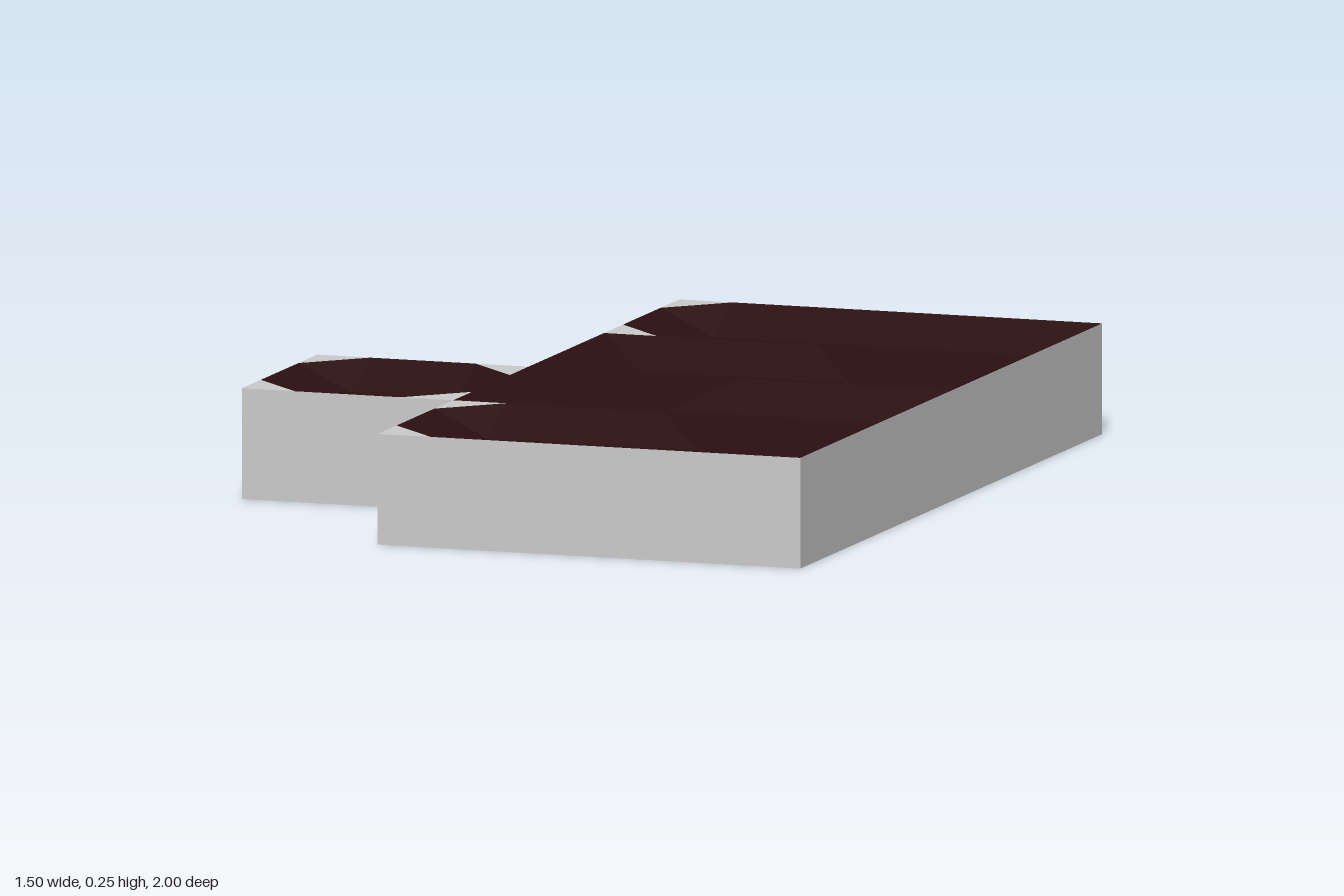
import * as THREE from 'three';

const TOP = 0.25, FLOOR = 0.19, CELL = 0.5, STEP = 0.125;

// Ground outline as [x, z], counter-clockwise seen from below
const OUTLINE = [
  [0.75, -1], [0.75, 1], [-0.25, 1], [-0.25, 0.5],
  [-0.75, 0.5], [-0.75, 0], [-0.25, 0], [-0.25, -1],
];

// Crests between cells and around the edge: [x1, z1, x2, z2]
const CRESTS = [
  ...OUTLINE.map((p, i) => [...p, ...OUTLINE[(i + 1) % OUTLINE.length]]),
  [-0.25, 0, -0.25, 0.5],
  [-0.25, -0.5, 0.25, -0.5],
  [-0.25, 0.5, 0.25, 0.5],
  [0.25, 0, 0.75, 0],
];

// Cells as [x, z, chamfered left corners, chamfered right corners]
const CELLS = [[-0.75, 0, true, true]];
for (let row = 0; row < 4; row++) {
  const z = -1 + row * CELL;
  CELLS.push([-0.25, z, row === 0 || row === 3, false], [0.25, z, false, false]);
}

function height(x, z) {
  const onCrest = CRESTS.some(([x1, z1, x2, z2]) =>
    x >= Math.min(x1, x2) && x <= Math.max(x1, x2) &&
    z >= Math.min(z1, z2) && z <= Math.max(z1, z2));
  return onCrest ? TOP : FLOOR;
}

function meshFrom(name, positions, color) {
  const geometry = new THREE.BufferGeometry();
  geometry.setAttribute('position', new THREE.Float32BufferAttribute(positions, 3));
  geometry.computeVertexNormals();
  const mesh = new THREE.Mesh(geometry, new THREE.MeshStandardMaterial({ color, flatShading: true }));
  mesh.name = name;
  return mesh;
}

// Add a triangle, turned so that it faces up
function addUp(list, a, b, c) {
  const up = (b[2] - a[2]) * (c[0] - a[0]) - (b[0] - a[0]) * (c[2] - a[2]);
  list.push(...a, ...(up > 0 ? [...b, ...c] : [...c, ...b]));
}

export function createModel() {
  const group = new THREE.Group();
  group.name = 'mazeTile';

  // Sunken floor with sloping banks, and flat corner pieces in the dead ends
  const floor = [], corners = [];
  for (const [cx, cz, chamferLeft, chamferRight] of CELLS) {
    for (let i = 0; i < 4; i++) {
      for (let j = 0; j < 4; j++) {
        const x0 = cx + i * STEP, z0 = cz + j * STEP;
        // o is the corner farthest from the cell centre, n the nearest
        const xo = i < 2 ? x0 : x0 + STEP, xn = i < 2 ? x0 + STEP : x0;
        const zo = j < 2 ? z0 : z0 + STEP, zn = j < 2 ? z0 + STEP : z0;
        const point = (x, z) => [x, height(x, z), z];
        const o = point(xo, zo), n = point(xn, zn);
        const a = point(xn, zo), b = point(xo, zn);
        const atCorner = (i === 0 || i === 3) && (j === 0 || j === 3);
        if (atCorner && (i === 0 ? chamferLeft : chamferRight)) {
          addUp(corners, o, a, b);
          addUp(floor, n, a, b);
        } else {
          addUp(floor, o, a, n);
          addUp(floor, o, b, n);
        }
      }
    }
  }
  group.add(meshFrom('sunkenFloor', floor, 0x2b0f11));
  group.add(meshFrom('cornerPieces', corners, 0xcccccc));

  // Upright outer sides
  const sides = [];
  OUTLINE.forEach(([x1, z1], i) => {
    const [x2, z2] = OUTLINE[(i + 1) % OUTLINE.length];
    sides.push(x1, 0, z1, x1, TOP, z1, x2, TOP, z2);
    sides.push(x1, 0, z1, x2, TOP, z2, x2, 0, z2);
  });
  group.add(meshFrom('outerSides', sides, 0xcccccc));

  // Flat underside
  const shape = new THREE.Shape(OUTLINE.map(([x, z]) => new THREE.Vector2(x, z)));
  const underside = new THREE.Mesh(
    new THREE.ShapeGeometry(shape).rotateX(Math.PI / 2),
    new THREE.MeshStandardMaterial({ color: 0xcccccc, flatShading: true }));
  underside.name = 'underside';
  group.add(underside);

  return group;
}
